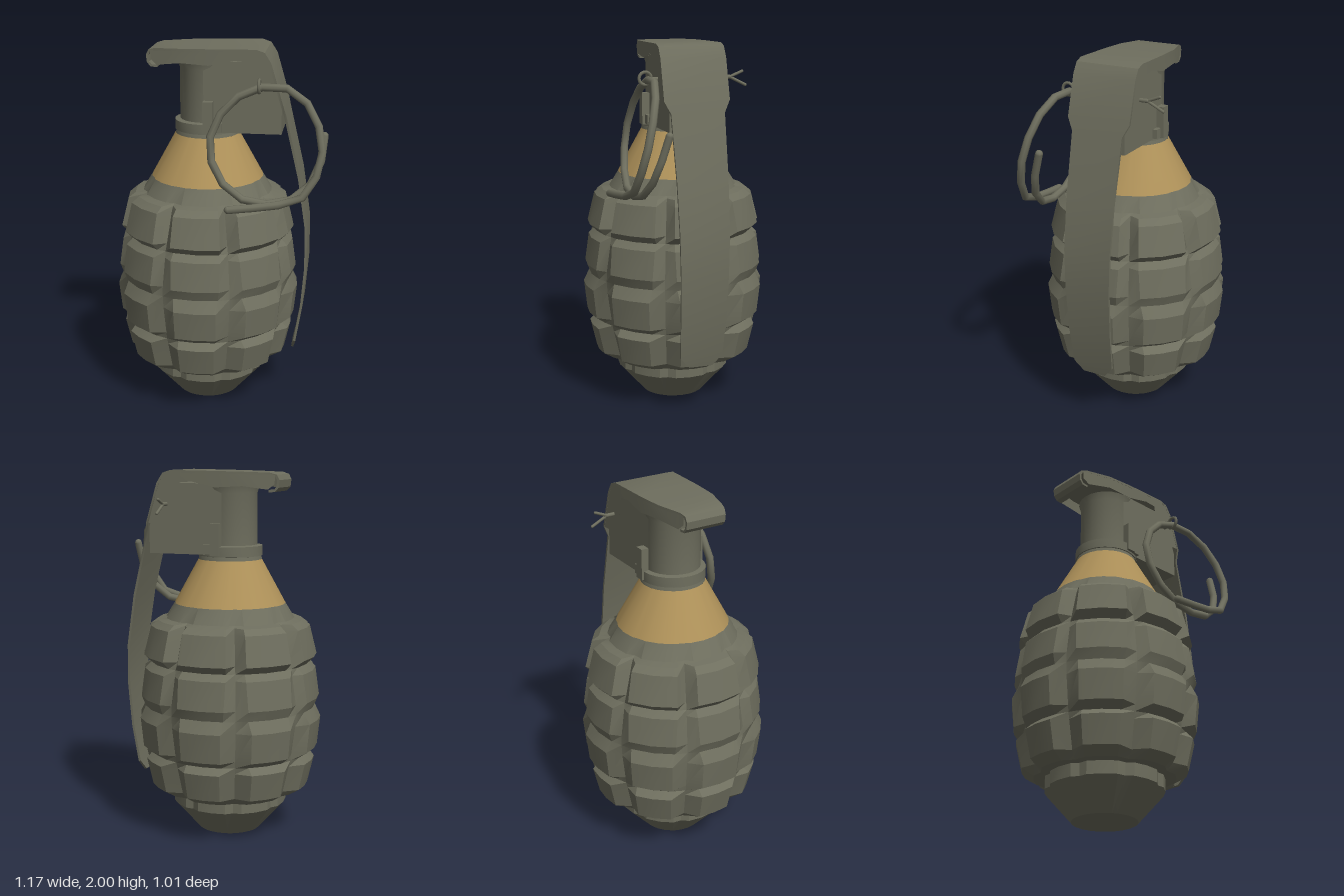
import * as THREE from 'three';
import { toCreasedNormals } from 'three/addons/utils/BufferGeometryUtils.js';

const AXIS = -0.08; // x of the body's axis

// Skin through matching cross-sections, optionally closed at both ends.
function loft(sections, crease, capStart = true, capEnd = true) {
  const n = sections[0].length, pos = sections.flat(2), idx = [];
  for (let i = 0; i < sections.length - 1; i++) {
    for (let j = 0; j < n; j++) {
      const k = (j + 1) % n, a = i * n + j, b = i * n + k;
      idx.push(a, b, b + n, a, b + n, a + n);
    }
  }
  const last = (sections.length - 1) * n;
  for (let j = 1; j < n - 1; j++) {
    if (capStart) idx.push(0, j + 1, j);
    if (capEnd) idx.push(last, last + j, last + j + 1);
  }
  const g = new THREE.BufferGeometry();
  g.setAttribute('position', new THREE.Float32BufferAttribute(pos, 3));
  g.setIndex(idx);
  return toCreasedNormals(g, crease);
}

// Eight-lobed ring: y, lobe radius, groove radius, half angle of the lobe face.
function lobedRing([y, r, groove, half = 14.5]) {
  const out = [];
  for (let l = 0; l < 8; l++) {
    for (const [a, rad] of [[-22.5, groove], [-half, r], [0, r], [half, r]]) {
      const t = THREE.MathUtils.degToRad(l * 45 + a);
      out.push([AXIS + Math.sin(t) * rad, y, Math.cos(t) * rad]);
    }
  }
  return out;
}

// Bent sheet following x, y, half width.
function ribbon(path, thick) {
  return loft(path.map(([x, y, w], i) => {
    const p = path[Math.max(i - 1, 0)], q = path[Math.min(i + 1, path.length - 1)];
    const dx = q[0] - p[0], dy = q[1] - p[1], len = Math.hypot(dx, dy);
    const bx = x + dy / len * thick, by = y - dx / len * thick;
    return [[x, y, -w], [x, y, w], [bx, by, w], [bx, by, -w]];
  }), 0.5);
}

export function createModel() {
  const model = new THREE.Group();
  const olive = new THREE.MeshStandardMaterial({ color: 0x6e6e5e });
  olive.name = 'olive';
  const oliveSheet = new THREE.MeshStandardMaterial({ color: 0x6e6e5e, side: THREE.DoubleSide });
  oliveSheet.name = 'olive sheet';
  const tan = new THREE.MeshStandardMaterial({ color: 0xae9159 });
  tan.name = 'tan';

  const add = (name, geometry, material = olive, parent = model) => {
    const m = new THREE.Mesh(geometry, material);
    m.name = name;
    parent.add(m);
    return m;
  };
  const wire = (name, points, radius, segments, parent = model) => {
    const pts = points.map(p => new THREE.Vector3(...p));
    const curve = new THREE.CatmullRomCurve3(pts);
    add(name, new THREE.TubeGeometry(curve, segments, radius, 8), olive, parent);
    for (const p of [pts[0], pts[pts.length - 1]]) {
      add(name + 'End', new THREE.SphereGeometry(radius, 8, 6), olive, parent).position.copy(p);
    }
  };

  // Segmented body: base cone, four rows of blocks, shoulder
  add('body', loft([
    [0, 0.175, 0.175], [0.16, 0.317, 0.3], [0.23, 0.317, 0.3],
    [0.231, 0.375, 0.35, 12], [0.27, 0.44, 0.385, 12], [0.42, 0.475, 0.425, 12], [0.455, 0.44, 0.435, 13],
    [0.49, 0.49, 0.44, 13], [0.65, 0.507, 0.465, 13], [0.715, 0.475, 0.47],
    [0.77, 0.497, 0.468, 15], [0.925, 0.475, 0.44, 16], [0.96, 0.44, 0.435, 16],
    [1.0, 0.48, 0.42, 16], [1.16, 0.44, 0.37, 16], [1.19, 0.4, 0.355, 16],
    [1.2, 0.355, 0.34], [1.28, 0.306, 0.3],
  ].map(lobedRing), 0.42, true, false));
  add('paintedBand', loft([[1.28, 0.306, 0.3], [1.52, 0.174, 0.173]].map(lobedRing), 0.42, false, false), tan);

  // Collar and neck
  const neck = new THREE.LatheGeometry([
    [0.174, 1.52], [0.17, 1.54], [0.176, 1.541], [0.176, 1.595], [0.148, 1.6], [0.148, 1.88], [0.16, 1.92], [0, 1.92],
  ].map(p => new THREE.Vector2(...p)), 24);
  add('neck', toCreasedNormals(neck, 0.5)).position.x = AXIS;

  // Housing between neck and lever
  const side = new THREE.Shape([
    [-0.08, 1.55], [0.335, 1.55], [0.335, 1.71], [0.275, 1.93], [-0.08, 1.93],
  ].map(p => new THREE.Vector2(...p)));
  const housing = new THREE.ExtrudeGeometry(side, { depth: 0.296, bevelEnabled: false });
  add('housing', housing.translate(0, 0, -0.148));

  // Safety lever with its curled front lip
  add('lever', ribbon([
    [-0.33, 1.885, 0.115], [-0.365, 1.888, 0.115], [-0.385, 1.91, 0.115], [-0.39, 1.95, 0.115],
    [-0.375, 1.978, 0.117], [-0.34, 1.988, 0.125], [-0.2, 1.993, 0.163], [-0.05, 1.996, 0.174],
    [0.2, 2, 0.179], [0.245, 1.985, 0.179], [0.28, 1.93, 0.179], [0.343, 1.715, 0.179],
    [0.36, 1.65, 0.146], [0.44, 1.31, 0.14], [0.482, 1.03, 0.136], [0.485, 0.8, 0.131],
    [0.466, 0.56, 0.126], [0.432, 0.35, 0.118], [0.418, 0.29, 0.065],
  ], 0.013));

  // Folded lever flanges: x, top, bottom, z
  const flange = [
    [-0.365, 1.975, 1.93, 0.119], [-0.33, 1.985, 1.9, 0.127], [-0.2, 1.99, 1.918, 0.162],
    [-0.05, 1.993, 1.91, 0.173], [0.08, 1.996, 1.94, 0.176], [0.145, 1.997, 1.935, 0.178],
    [0.155, 1.997, 1.86, 0.178], [0.2, 1.997, 1.755, 0.178], [0.235, 1.985, 1.72, 0.178],
    [0.28, 1.925, 1.717, 0.178], [0.341, 1.717, 1.715, 0.178],
  ];
  for (const s of [1, -1]) {
    const name = s > 0 ? 'front' : 'back';
    const g = new THREE.PlaneGeometry(1, 1, flange.length - 1, 1);
    flange.forEach(([x, top, bottom, z], i) => {
      g.attributes.position.setXYZ(i, x, top, s * z);
      g.attributes.position.setXYZ(i + flange.length, x, bottom, s * z);
    });
    if (s < 0) g.index.array.reverse();
    g.computeVertexNormals();
    add(name + 'Flange', g, oliveSheet);
    // Pivot lugs beside the neck
    add(name + 'Lug', new THREE.BoxGeometry(0.053, 0.17, 0.045)).position.set(-0.053, 1.635, s * 0.167);
    add(name + 'LugFoot', new THREE.BoxGeometry(0.05, 0.05, 0.03)).position.set(-0.005, 1.58, s * 0.158);
  }

  // Cotter pin with an eye in front and splayed legs behind
  const pin = new THREE.Group();
  pin.name = 'pin';
  model.add(pin);
  wire('pinShaft', [[0.225, 1.82, 0.22], [0.225, 1.82, 0], [0.225, 1.82, -0.22]], 0.011, 2, pin);
  wire('upperLeg', [[0.225, 1.82, -0.22], [0.225, 1.848, -0.29]], 0.008, 1, pin);
  wire('lowerLeg', [[0.225, 1.82, -0.22], [0.225, 1.775, -0.31]], 0.008, 1, pin);
  const eye = add('pinEye', new THREE.TorusGeometry(0.033, 0.009, 6, 14), olive, pin);
  eye.rotation.y = Math.PI / 2;
  eye.position.set(0.225, 1.825, 0.245);

  // Split pull ring, a little over one turn
  wire('pullRing', [
    [0.565, 1.57, 0.22], [0.54, 1.4, 0.27], [0.45, 1.27, 0.305], [0.28, 1.22, 0.325], [0.12, 1.255, 0.325],
    [0.01, 1.37, 0.305], [-0.03, 1.53, 0.28], [0.05, 1.71, 0.25], [0.16, 1.79, 0.237], [0.29, 1.825, 0.232],
    [0.41, 1.8, 0.245], [0.51, 1.7, 0.28], [0.56, 1.53, 0.325], [0.54, 1.4, 0.355],
    [0.45, 1.265, 0.38], [0.33, 1.235, 0.39], [0.085, 1.205, 0.405],
  ], 0.021, 20);

  return model;
}
